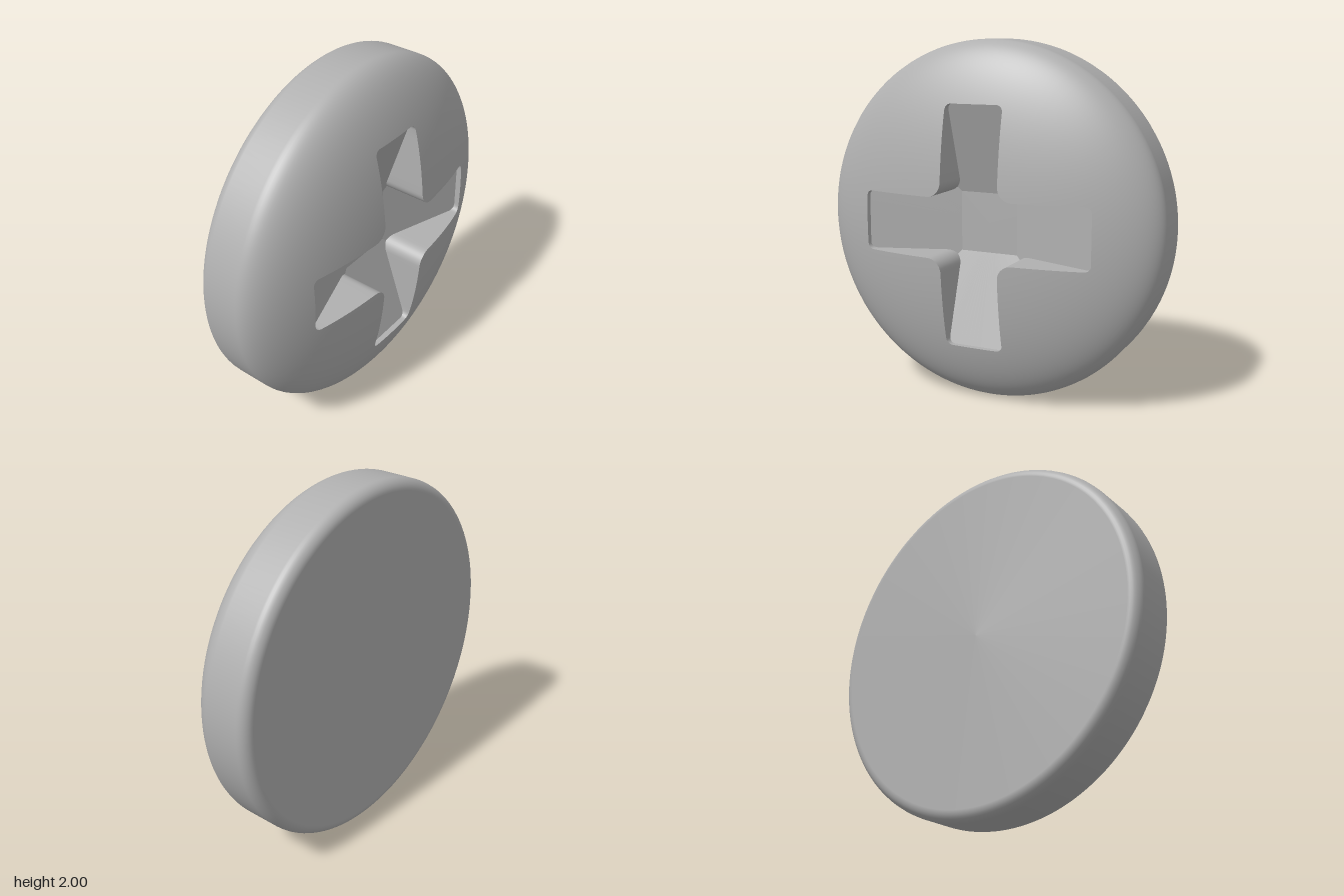
import * as THREE from 'three';
import { toCreasedNormals } from 'three/addons/utils/BufferGeometryUtils.js';

const ARM = 0.665, HALF = 0.168;          // cross recess: arm length, half width
const R_END = 0.035, R_IN = 0.08;         // cross corner radii
const FLOOR = 0.0, FLOOR_END = 0.165;     // recess floor height at centre and arm end
const DOME_Z = -0.03, DOME_H = 0.305;     // elliptical dome
const BACK = -0.275, FILLET = 0.06;

// Counterclockwise outline of the cross, one arm repeated four times
function crossOutline() {
  const arm = [];
  const line = (x0, y0, x1, y1, n) => {
    for (let i = 0; i < n; i++) arm.push(new THREE.Vector2(x0 + (x1 - x0) * i / n, y0 + (y1 - y0) * i / n));
  };
  const arc = (cx, cy, r, a0, a1, n) => {
    for (let i = 0; i < n; i++) {
      const a = (a0 + (a1 - a0) * i / n) * Math.PI / 180;
      arm.push(new THREE.Vector2(cx + r * Math.cos(a), cy + r * Math.sin(a)));
    }
  };
  const w = HALF, e = ARM - R_END, c = w + R_IN;
  line(c, -w, e, -w, 8);
  arc(e, -w + R_END, R_END, -90, 0, 6);
  line(ARM, -w + R_END, ARM, w - R_END, 10);
  arc(e, w - R_END, R_END, 0, 90, 6);
  line(e, w, c, w, 8);
  arc(c, c, R_IN, -90, -180, 10);
  const points = [];
  for (let k = 0; k < 4; k++) {
    for (const p of arm) points.push(p.clone().rotateAround(new THREE.Vector2(), k * Math.PI / 2));
  }
  return points;
}

// Skin closed rows of points into a surface
function skin(rows) {
  const n = rows[0].length, index = [];
  for (let i = 0; i < rows.length - 1; i++) {
    for (let j = 0; j < n; j++) {
      const k = (j + 1) % n;
      const a = i * n + j, b = a + n, c = (i + 1) * n + k, d = i * n + k;
      index.push(a, b, d, b, c, d);
    }
  }
  const geometry = new THREE.BufferGeometry().setFromPoints(rows.flat());
  geometry.setIndex(index);
  return geometry;
}

const reach = (p) => Math.max(Math.abs(p.x), Math.abs(p.y));
const domeZ = (r) => DOME_Z + DOME_H * Math.sqrt(Math.max(0, 1 - r * r));
const floorZ = (p) => FLOOR + (FLOOR_END - FLOOR) * Math.max(0, reach(p) - HALF) / (ARM - HALF);

// Dome around the cross opening, straight rim, rounded back edge and flat back
function headGeometry(outline) {
  const rows = [], normals = [];
  const addRow = (profile) => {
    rows.push(outline.map((p) => {
      const a = p.angle(), { r, z, nr, nz } = profile(p);
      const normal = new THREE.Vector3(nr * Math.cos(a), nr * Math.sin(a), nz).normalize();
      normals.push(normal.x, normal.y, normal.z);
      return new THREE.Vector3(r * Math.cos(a), r * Math.sin(a), z);
    }));
  };
  const steps = 28;
  for (let i = 0; i <= steps; i++) {
    addRow((p) => {
      const u = THREE.MathUtils.lerp(Math.asin(p.length()), Math.PI / 2, i / steps);
      const r = Math.sin(u), c = Math.cos(u);
      return { r, z: DOME_Z + DOME_H * c, nr: r, nz: c / DOME_H };
    });
  }
  for (let i = 0; i <= 8; i++) {
    const t = i / 8 * Math.PI / 2, c = Math.cos(t), s = Math.sin(t);
    addRow(() => ({ r: 1 - FILLET + FILLET * c, z: BACK + FILLET - FILLET * s, nr: c, nz: -s }));
  }
  addRow(() => ({ r: 0, z: BACK, nr: 0, nz: -1 }));
  const geometry = skin(rows);
  geometry.setAttribute('normal', new THREE.Float32BufferAttribute(normals, 3));
  return geometry;
}

export function createModel() {
  const group = new THREE.Group();
  group.name = 'screwHead';
  const steel = new THREE.MeshStandardMaterial({ color: 0xb0b0b0 });
  steel.name = 'grey steel';
  const outline = crossOutline();
  const add = (name, geometry) => {
    const mesh = new THREE.Mesh(geometry, steel);
    mesh.name = name;
    mesh.position.y = 1;
    group.add(mesh);
  };

  add('domedHead', headGeometry(outline));

  // Upright walls of the recess
  const bottom = outline.map((p) => new THREE.Vector3(p.x, p.y, floorZ(p)));
  const top = outline.map((p) => new THREE.Vector3(p.x, p.y, domeZ(p.length())));
  add('recessWalls', toCreasedNormals(skin([bottom, top]), 0.6));

  // Flat centre square with four floors rising towards the arm ends
  const centre = outline.map(() => new THREE.Vector3(0, 0, FLOOR));
  const square = outline.map((p) => new THREE.Vector3(p.x, p.y, 0).multiplyScalar(HALF / reach(p)).setZ(FLOOR));
  add('recessFloor', toCreasedNormals(skin([centre, square, bottom]), 0.15));

  return group;
}
